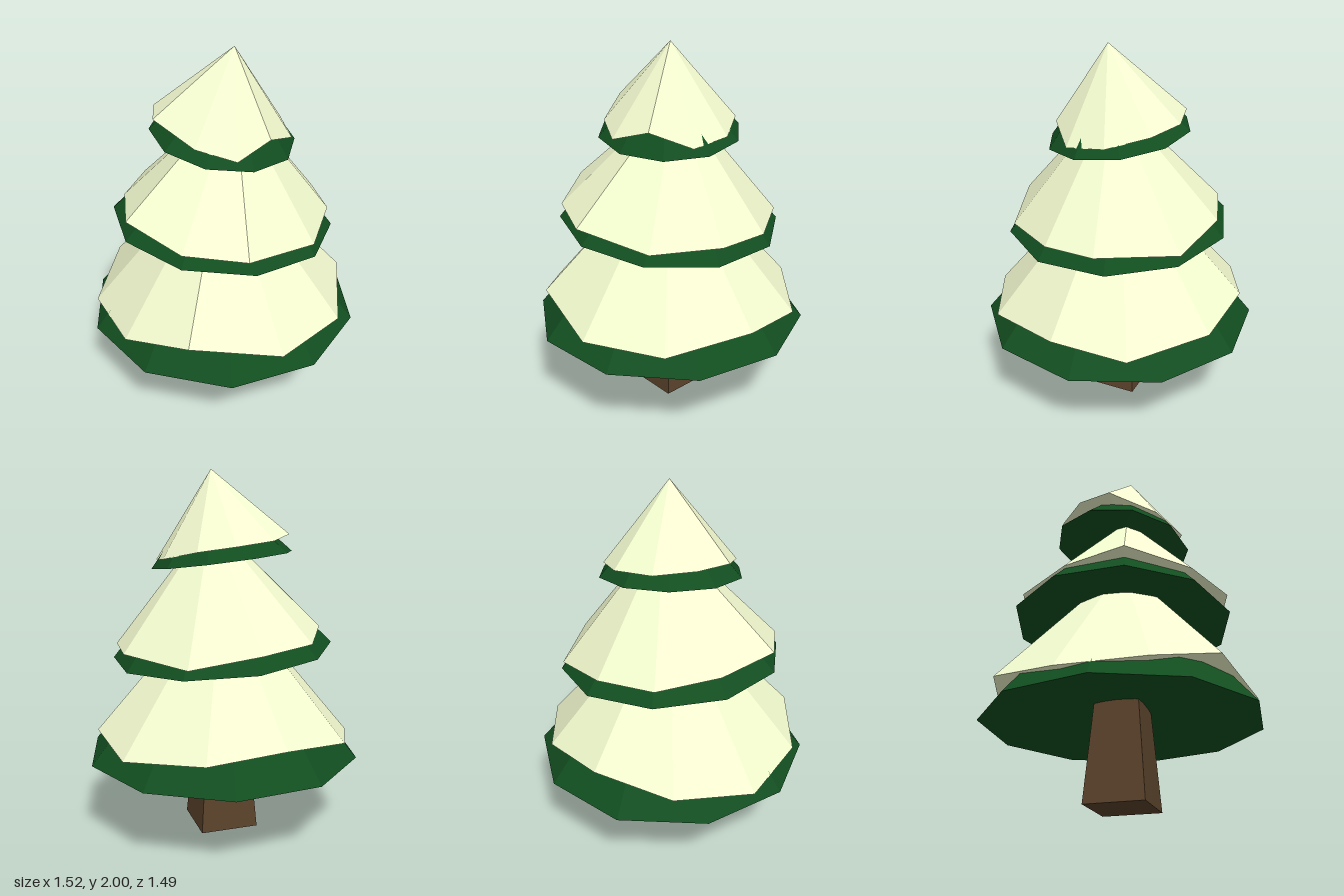
import * as THREE from 'three';

const SIDES = 10;
const mat = (color) => new THREE.MeshStandardMaterial({ color, flatShading: true });

// Closed pyramid from a free rim (clockwise seen from above) up to an apex;
// the underside is hollowed by lift
function cone(name, rim, apex, lift, material) {
  const n = rim.length;
  const center = [0, 1, 2].map((k) => rim.reduce((s, p) => s + p[k], 0) / n);
  center[1] += lift;
  const pos = [];
  rim.forEach((a, i) => {
    const b = rim[(i + 1) % n];
    pos.push(...a, ...apex, ...b); // slope
    pos.push(...a, ...b, ...center); // underside
  });
  const geo = new THREE.BufferGeometry();
  geo.setAttribute('position', new THREE.Float32BufferAttribute(pos, 3));
  geo.computeVertexNormals();
  const mesh = new THREE.Mesh(geo, material);
  mesh.name = name;
  return mesh;
}

// Regular rim at height y, leaning by slopes along x and z
function tiltedRim(radius, y, phase, tiltX, tiltZ) {
  return Array.from({ length: SIDES }, (_, i) => {
    const a = THREE.MathUtils.degToRad(phase) + (i / SIDES) * Math.PI * 2;
    const x = radius * Math.cos(a), z = radius * Math.sin(a);
    return [x, y + tiltX * x + tiltZ * z, z];
  });
}

// Each tier: regular branch rim, and an uneven snow rim of [x, y, z] points
const TIERS = [
  {
    name: 'lower',
    branch: [0.763, 0.44, -5.3, 0, 0], branchTop: [0, 1.36, 0], snowTop: [0, 1.395, 0], snowLift: 0,
    snow: [
      [-0.12, 0.64, -0.685], [0.29, 0.595, -0.65], [0.64, 0.55, -0.34], [0.70, 0.60, 0.06], [0.52, 0.55, 0.50],
      [0.12, 0.55, 0.71], [-0.36, 0.63, 0.61], [-0.64, 0.54, 0.33], [-0.725, 0.51, -0.11], [-0.52, 0.58, -0.51],
    ],
  },
  {
    name: 'middle',
    branch: [0.607, 1.018, 18, -0.078, 0], branchTop: [0.055, 1.69, 0], snowTop: [0.06, 1.74, 0.01], snowLift: 0.08,
    snow: [
      [-0.03, 1.10, -0.56], [0.335, 1.04, -0.495], [0.58, 1.06, -0.13], [0.565, 1.06, 0.15], [0.36, 1.045, 0.46],
      [-0.04, 1.10, 0.605], [-0.35, 1.12, 0.48], [-0.57, 1.18, 0.185], [-0.515, 1.15, -0.16], [-0.34, 1.12, -0.46],
    ],
  },
  {
    name: 'upper',
    branch: [0.385, 1.518, 10.7, -0.1, -0.1], branchTop: [0.05, 1.95, 0.04], snowTop: [0.05, 2, 0.04], snowLift: 0.08,
    snow: [
      [0.04, 1.62, -0.36], [0.22, 1.59, -0.275], [0.35, 1.54, -0.08], [0.335, 1.515, 0.14], [0.165, 1.59, 0.29],
      [-0.03, 1.53, 0.365], [-0.22, 1.58, 0.27], [-0.375, 1.66, 0.035], [-0.33, 1.66, -0.15], [-0.18, 1.64, -0.31],
    ],
  },
];

export function createModel() {
  const tree = new THREE.Group();
  tree.name = 'snowyTree';
  const green = mat(0x124e20), white = mat(0xf4fcd0), brown = mat(0x5a422b);

  // Square tapered trunk
  const h = 0.6;
  const trunkGeo = new THREE.CylinderGeometry(0.117 * Math.SQRT2, 0.163 * Math.SQRT2, h, 4);
  trunkGeo.rotateY(Math.PI / 4);
  trunkGeo.translate(0.007, h / 2, 0);
  const trunk = new THREE.Mesh(trunkGeo, brown);
  trunk.name = 'trunk';
  tree.add(trunk);

  // Branch tiers with snow caps
  for (const t of TIERS) {
    const tier = new THREE.Group();
    tier.name = t.name + 'Tier';
    tier.add(
      cone(t.name + 'Branches', tiltedRim(...t.branch), t.branchTop, 0.12, green),
      cone(t.name + 'Snow', t.snow, t.snowTop, t.snowLift, white),
    );
    tree.add(tier);
  }
  return tree;
}
